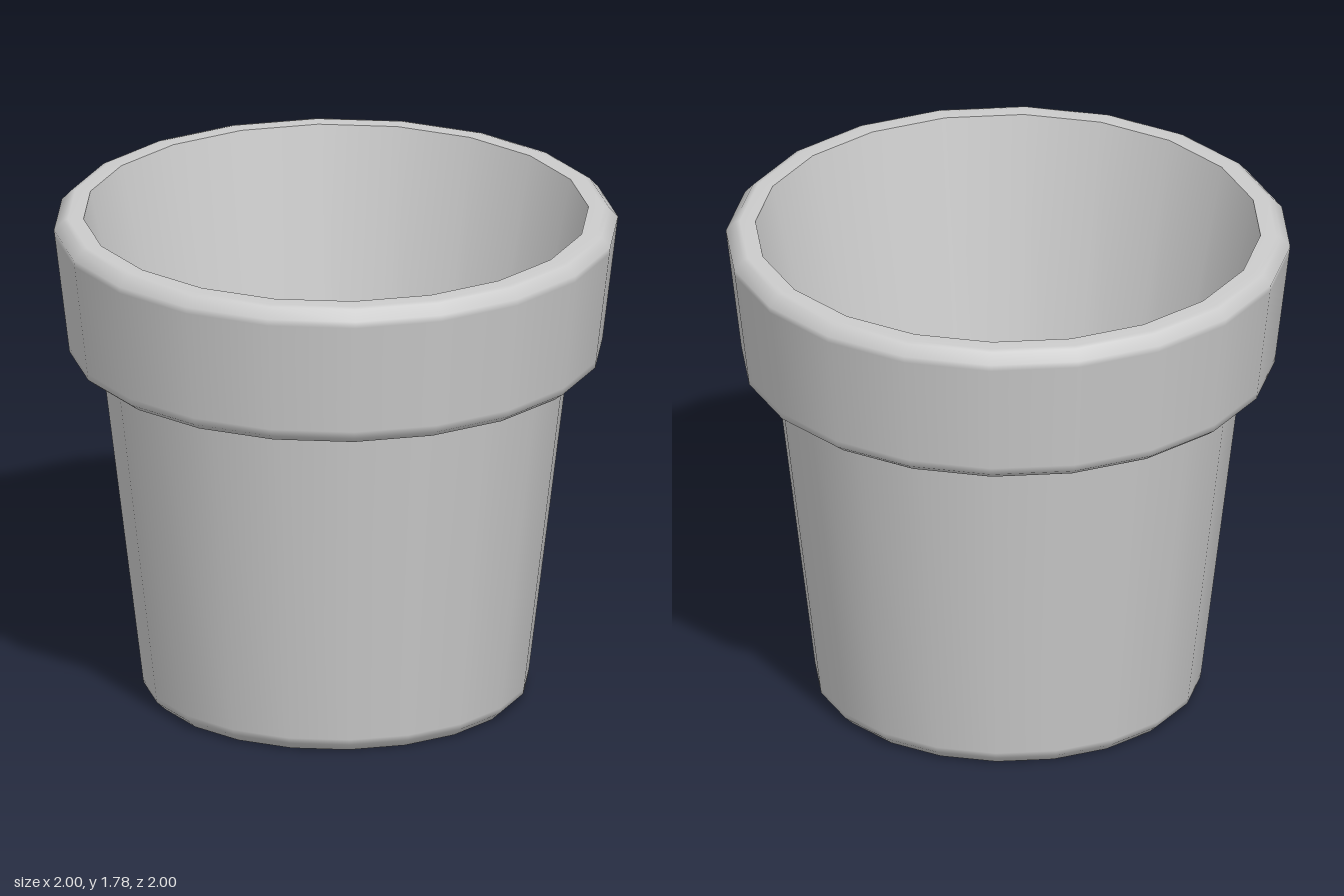
import * as THREE from 'three';

const SIDES = 20;

export function createModel() {
  const group = new THREE.Group();
  const material = new THREE.MeshStandardMaterial({ color: 0xcccccc });

  // Each profile of [radius, height] is turned smoothly; creases fall between parts.
  const turn = (name, profile) => {
    const points = profile.map(([r, y]) => new THREE.Vector2(r, y));
    const mesh = new THREE.Mesh(new THREE.LatheGeometry(points, SIDES), material);
    mesh.name = name;
    group.add(mesh);
  };

  // Underside and tapered outer wall, with a soft bevel at the foot
  turn('body', [[0, 0], [0.635, 0], [0.65, 0], [0.682, 0.03], [0.685, 0.05], [0.828, 1.24], [0.83, 1.26]]);

  // Thick collar, bevelled at its lower and upper edges
  turn('rim', [
    [0.83, 1.26], [0.895, 1.26], [0.912, 1.26], [0.945, 1.285], [0.948, 1.31],
    [0.997, 1.72], [1, 1.745], [0.968, 1.78], [0.95, 1.785], [0.895, 1.785],
  ]);

  // Tapered hollow and its flat floor
  turn('innerWall', [[0.895, 1.785], [0.545, 0.12]]);
  turn('floor', [[0.545, 0.12], [0, 0.12]]);

  return group;
}
